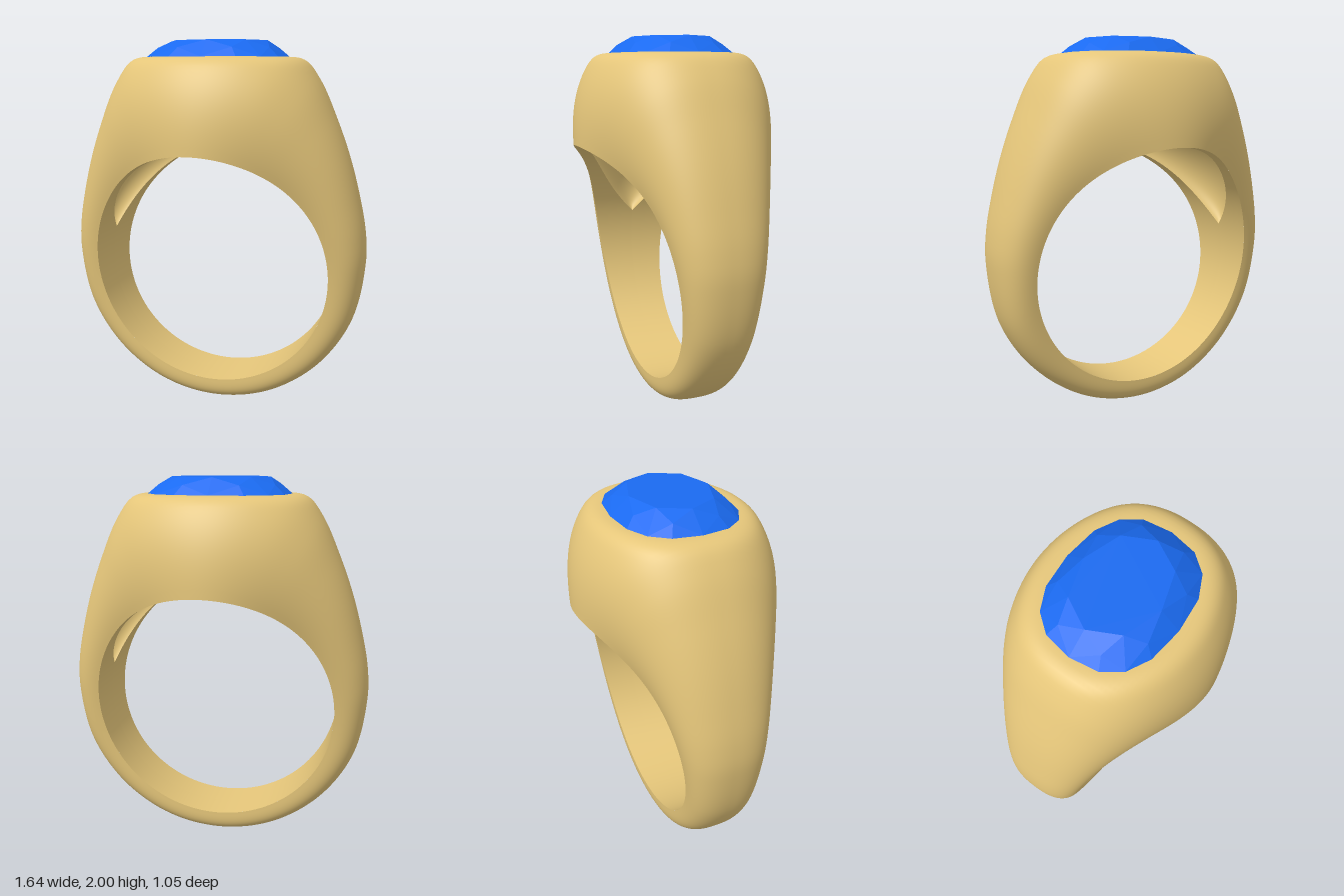
import * as THREE from 'three';
import { ConvexGeometry } from 'three/addons/geometries/ConvexGeometry.js';

const HOLE_Y = 0.785, HOLE_R = 0.655, TOP = 1.915;
const N = 180;                                   // steps around the finger
const TIP = THREE.MathUtils.degToRad(14);        // where the hollow runs out

// Smooth grid surface; its front is along du x dv
function surface(f, nu, nv, closed = false) {
  const pos = [], index = [], rows = closed ? nv : nv + 1;
  for (let j = 0; j < rows; j++)
    for (let i = 0; i <= nu; i++) pos.push(...f(i / nu, j / nv));
  for (let j = 0; j < nv; j++)
    for (let i = 0; i < nu; i++) {
      const a = j * (nu + 1) + i, b = ((j + 1) % rows) * (nu + 1) + i;
      index.push(a, a + 1, b, a + 1, b + 1, b);
    }
  const g = new THREE.BufferGeometry();
  g.setAttribute('position', new THREE.Float32BufferAttribute(pos, 3));
  g.setIndex(index);
  g.computeVertexNormals();
  return g;
}

// Height along the hole edge, 0 at the bottom to 1 under the head
const rise = (t) => (1 + Math.sin(t)) / 2;
// Half width of the band at an angle
const halfWidth = (t) => 0.16 + 0.2 * rise(t) ** 2 + 0.165 * rise(t) ** 10;
const polar = (t, r, z) => [r * Math.cos(t), HOLE_Y + r * Math.sin(t), z];
const smoothMin = (a, b, k) =>
  Math.min(a, b) - (Math.max(k - Math.abs(a - b), 0) / k) ** 2 * k / 4;

// How far into the hollow an angle lies, 0 at its tips to 1 in the middle
const hollow = (t) => {
  const k = (Math.sin(t) - Math.sin(TIP)) / (1 - Math.sin(TIP));
  return k < 1e-6 ? 0 : k;
};
const hollowWidth = (t) => (halfWidth(t) - 0.07) * (1 - (1 - hollow(t)) ** 3);

export function createModel() {
  const group = new THREE.Group();
  const gold = new THREE.MeshStandardMaterial({ color: 0xe5c67a });
  const blue = new THREE.MeshStandardMaterial({ color: 0x1a6af0 });
  const add = (name, geometry, material) => {
    const m = new THREE.Mesh(geometry, material);
    m.name = name;
    group.add(m);
  };

  // Outline of the band, domed at the head before it is flattened
  const side = [[0.31, 0.06], [0.58, 0.24], [0.76, 0.51], [0.82, 0.83], [0.812, 1.0],
    [0.77, 1.2], [0.712, 1.4], [0.635, 1.6], [0.54, 1.8], [0.43, 1.94], [0.3, 2.02], [0.15, 2.067]];
  const outline = new THREE.CatmullRomCurve3([
    [0, 0], ...side, [0, 2.08], ...side.slice().reverse().map(([x, y]) => [-x, y]),
  ].map(([x, y]) => new THREE.Vector3(x, y, 0)), true);
  outline.arcLengthDivisions = 1000;

  // Outer skin: rounded sections around the hole, cut flat on top
  add('bandOuter', surface((u, v) => {
    const p = outline.getPointAt(v);
    const t = Math.atan2(p.y - HOLE_Y, p.x), R = Math.hypot(p.x, p.y - HOLE_Y);
    const e = 2 / (2.3 + 0.8 * (1 - rise(t)) ** 2);
    const a = Math.PI * u;
    const c = Math.cos(a), s = Math.max(Math.sin(a), 0);
    const z = halfWidth(t) * Math.sign(c) * Math.abs(c) ** e;
    const [x, y] = polar(t, HOLE_R + (R - HOLE_R) * s ** e, z);
    return [x, smoothMin(y, TOP, 0.06), z];
  }, 64, N, true), gold);

  // Inner face of the band on both sides of the hollow
  for (const s of [-1, 1])
    add(s > 0 ? 'bandInnerFront' : 'bandInnerBack', surface((u, v) => {
      const t = -Math.PI / 2 + v * Math.PI * 2;
      const k = s > 0 ? u : 1 - u;
      return polar(t, HOLE_R, s * THREE.MathUtils.lerp(hollowWidth(t), halfWidth(t), k));
    }, 4, N, true), gold);

  // Leaf-shaped hollow under the head
  add('headHollow', surface((u, v) => {
    const t = TIP + v * (Math.PI - 2 * TIP);
    const a = (u - 0.5) * Math.PI;
    return polar(t, HOLE_R + 0.2 * hollow(t) ** 0.6 * Math.cos(a), hollowWidth(t) * Math.sin(a));
  }, 32, 76), gold);

  // Faceted oval stone: girdle, crown, table and pavilion
  const points = [];
  const ring = (count, offset, rx, rz, y, e) => {
    for (let i = 0; i < count; i++) {
      const a = ((i + offset) / count) * Math.PI * 2, c = Math.cos(a), s = Math.sin(a);
      points.push(new THREE.Vector3(
        rx * Math.sign(c) * Math.abs(c) ** e, y, rz * Math.sign(s) * Math.abs(s) ** e));
    }
  };
  ring(16, 0, 0.38, 0.308, 1.915, 0.8);
  ring(8, 0.5, 0.325, 0.262, 1.962, 0.85);
  ring(8, 0, 0.265, 0.21, 2.0, 1);
  ring(8, 0.5, 0.215, 0.175, 1.66, 0.9);
  points.push(new THREE.Vector3(0, 1.45, 0));
  add('gemstone', new ConvexGeometry(points), blue);

  return group;
}
